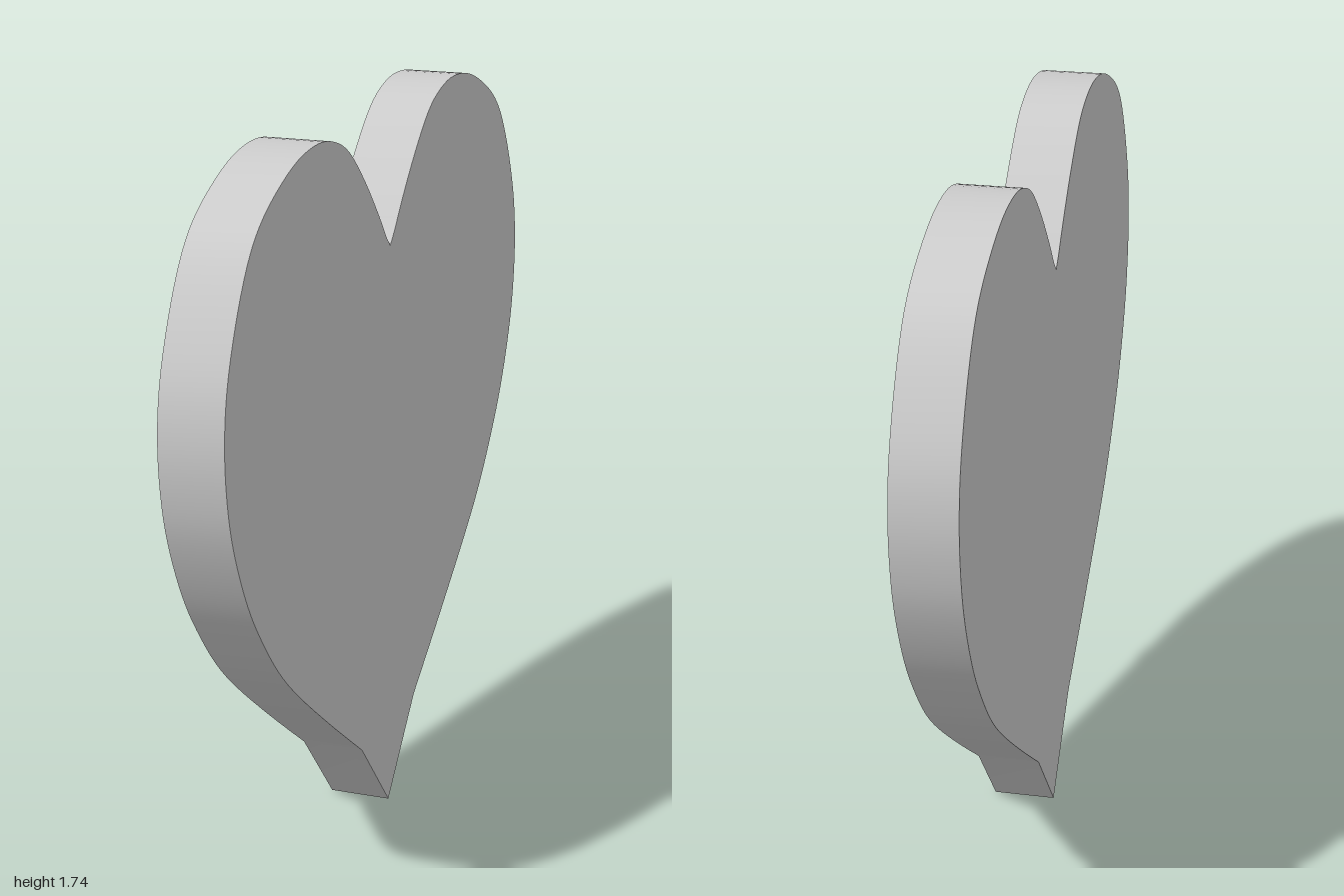
import * as THREE from 'three';
import { toCreasedNormals } from 'three/addons/utils/BufferGeometryUtils.js';

const THICKNESS = 0.15;

// One lobe, from the shoulder above the tip round to the notch
const LOBE = [
  [0.19, 0.21], [0.4, 0.36], [0.6, 0.51], [0.72, 0.615], [0.82, 0.73], [0.89, 0.83],
  [0.95, 0.95], [0.985, 1.06], [1, 1.19], [0.985, 1.32], [0.935, 1.45], [0.87, 1.56],
  [0.8, 1.63], [0.7, 1.685], [0.58, 1.727], [0.46, 1.74], [0.36, 1.725], [0.27, 1.685],
  [0.17, 1.6], [0.08, 1.505], [0.03, 1.445], [0, 1.415],
].map(([x, y]) => new THREE.Vector2(x, y));

export function createModel() {
  const group = new THREE.Group();
  group.name = 'heartPlaque';
  const material = new THREE.MeshStandardMaterial({ color: 0xcccccc });

  // Heart outline: pointed tip, one smooth lobe and its mirror image
  const half = new THREE.SplineCurve(LOBE).getPoints(84);
  const mirrored = half.slice(0, -1).reverse().map((p) => new THREE.Vector2(-p.x, p.y));
  const outline = new THREE.Shape([new THREE.Vector2(0, 0), ...half, ...mirrored]);

  // Slab with flat faces, turned so its thickness runs along x
  const slab = new THREE.ExtrudeGeometry(outline, { depth: THICKNESS, bevelEnabled: false });
  slab.translate(0, 0, -THICKNESS / 2).rotateY(Math.PI / 2);
  const heart = new THREE.Mesh(toCreasedNormals(slab, 0.4), material);
  heart.name = 'heart';
  group.add(heart);

  // Small web filling the bottom of the notch, set in from both faces
  const web = new THREE.Mesh(new THREE.BoxGeometry(0.1, 0.04, 0.05), material);
  web.name = 'notchWeb';
  web.position.y = 1.425;
  group.add(web);

  return group;
}
